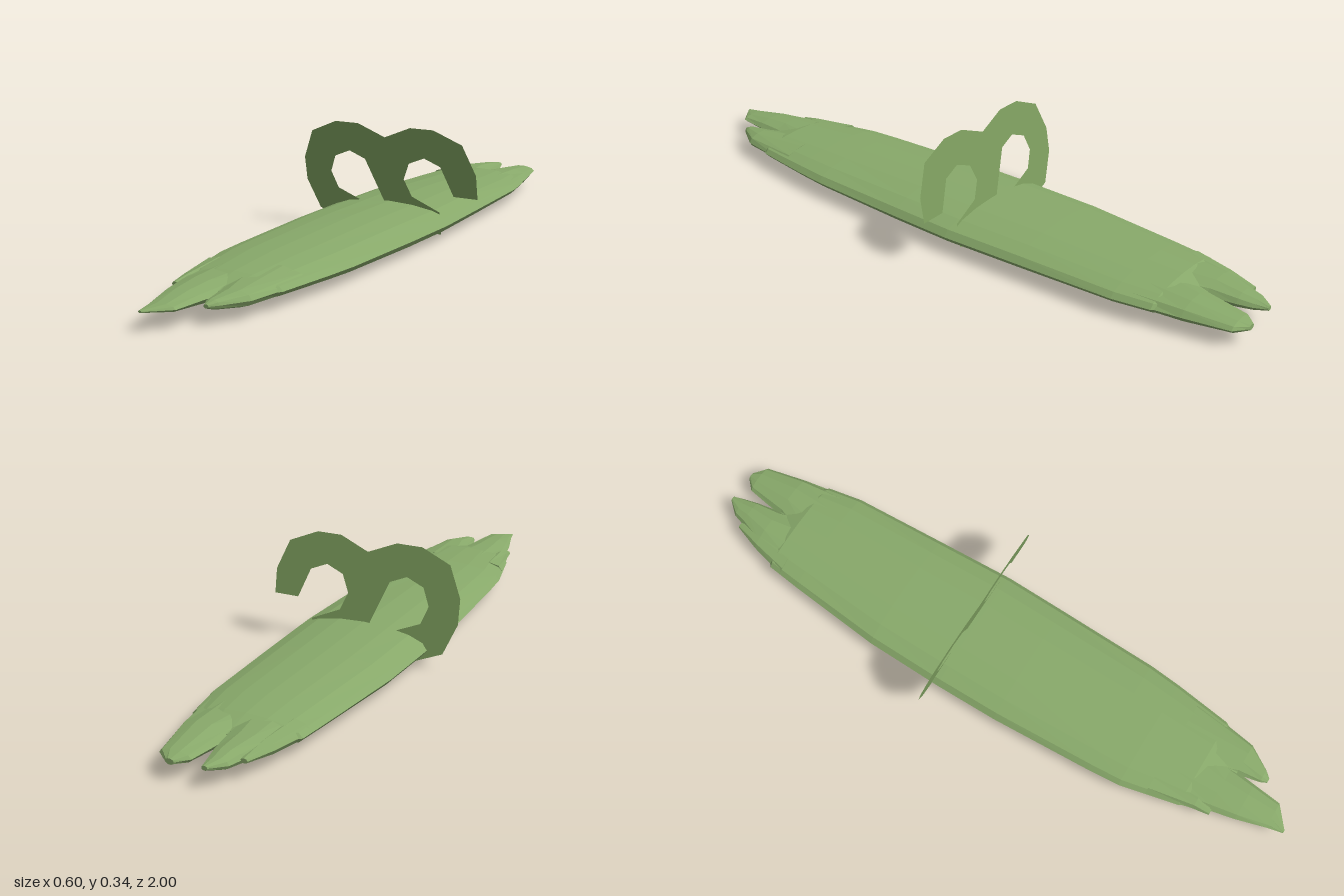
import * as THREE from 'three';

const green = new THREE.MeshStandardMaterial({ color: 0x88a96a, flatShading: true });
const greenSheet = new THREE.MeshStandardMaterial({ color: 0x7e9f5f, side: THREE.DoubleSide });

// Closed loft through oval sections [z, xMin, xMax, yMin, yMax], listed from back to front.
function loft(name, sections, sides = 10) {
  const pos = [], index = [];
  for (const [z, x0, x1, y0, y1] of sections) {
    for (let j = 0; j < sides; j++) {
      const a = (j / sides) * Math.PI * 2;
      pos.push((x0 + x1) / 2 + Math.cos(a) * (x1 - x0) / 2, (y0 + y1) / 2 + Math.sin(a) * (y1 - y0) / 2, z);
    }
  }
  const last = sections.length - 1;
  for (let i = 0; i < last; i++) {
    for (let j = 0; j < sides; j++) {
      const k = (j + 1) % sides;
      const a = i * sides + j, b = i * sides + k, c = b + sides, d = a + sides;
      index.push(a, b, c, a, c, d);
    }
  }
  for (let j = 1; j < sides - 1; j++) {
    index.push(0, j + 1, j);
    index.push(last * sides, last * sides + j, last * sides + j + 1);
  }
  const geo = new THREE.BufferGeometry();
  geo.setAttribute('position', new THREE.Float32BufferAttribute(pos, 3));
  geo.setIndex(index);
  geo.computeVertexNormals();
  const mesh = new THREE.Mesh(geo, green);
  mesh.name = name;
  return mesh;
}

export function createModel() {
  const group = new THREE.Group();
  group.name = 'leafBundle';

  // Long flattened body, its ends tucked inside the tips
  group.add(loft('body', [
    [-0.84, -0.08, 0.09, 0.045, 0.065],
    [-0.76, -0.165, 0.16, 0.02, 0.09],
    [-0.65, -0.178, 0.18, 0.016, 0.094],
    [-0.35, -0.207, 0.194, 0.006, 0.101],
    [-0.1, -0.212, 0.205, 0.002, 0.102],
    [0.1, -0.21, 0.2, 0, 0.102],
    [0.42, -0.193, 0.19, 0.008, 0.096],
    [0.52, -0.185, 0.18, 0.012, 0.093],
    [0.7, -0.143, 0.155, 0.02, 0.085],
    [0.8, -0.07, 0.09, 0.045, 0.062],
  ], 16));

  // Ragged split tips at the back
  group.add(loft('backRightTip', [
    [-1, -0.045, -0.028, 0.053, 0.066],
    [-0.96, -0.08, -0.015, 0.04, 0.072],
    [-0.92, -0.092, -0.005, 0.034, 0.078],
    [-0.84, -0.125, 0.008, 0.026, 0.085],
    [-0.66, -0.16, 0.07, 0.022, 0.088],
  ]));
  group.add(loft('backLeftTip', [
    [-1, 0.05, 0.075, 0.045, 0.062],
    [-0.97, 0.02, 0.113, 0.038, 0.07],
    [-0.84, -0.002, 0.142, 0.026, 0.084],
    [-0.66, -0.07, 0.172, 0.022, 0.088],
  ]));
  group.add(loft('backSideTip', [
    [-0.925, -0.108, -0.088, 0.05, 0.064],
    [-0.84, -0.138, -0.07, 0.036, 0.076],
    [-0.72, -0.168, -0.07, 0.03, 0.082],
  ], 8));

  // Ragged split tips at the front
  group.add(loft('frontMainTip', [
    [0.6, -0.155, 0.1, 0.02, 0.087],
    [0.78, -0.11, 0.04, 0.026, 0.08],
    [0.86, -0.092, 0.03, 0.033, 0.075],
    [0.95, -0.065, 0.02, 0.043, 0.064],
    [1, -0.053, -0.043, 0.049, 0.055],
  ]));
  group.add(loft('frontLeftTip', [
    [0.6, -0.06, 0.165, 0.02, 0.087],
    [0.8, 0.03, 0.133, 0.03, 0.076],
    [0.87, 0.045, 0.088, 0.04, 0.066],
    [0.89, 0.055, 0.07, 0.047, 0.058],
  ]));
  group.add(loft('frontSideTip', [
    [0.6, -0.165, -0.07, 0.03, 0.08],
    [0.74, -0.13, -0.08, 0.035, 0.074],
    [0.79, -0.122, -0.103, 0.048, 0.062],
  ], 8));

  // Flat curling ribbon, leaning forward
  const v = (pts) => pts.map(([x, y]) => new THREE.Vector2(x, y));
  const outline = new THREE.Shape(v([
    [-0.17, 0.013], [0.168, 0.013], [0.168, 0.085], [0.077, 0.125], [0.054, 0.178],
    [0.076, 0.23], [0.13, 0.252], [0.183, 0.23], [0.22, 0.141], [0.299, 0.141],
    [0.299, 0.215], [0.26, 0.305], [0.168, 0.343], [0.09, 0.343], [0, 0.306],
    [-0.09, 0.343], [-0.17, 0.343], [-0.26, 0.305], [-0.299, 0.215], [-0.299, 0.141],
    [-0.26, 0.05],
  ]));
  outline.holes.push(new THREE.Path(v([
    [-0.205, 0.178], [-0.184, 0.23], [-0.13, 0.252], [-0.077, 0.23],
    [-0.018, 0.09], [-0.1, 0.09], [-0.184, 0.125],
  ])));
  const geo = new THREE.ShapeGeometry(outline);
  const p = geo.attributes.position;
  for (let i = 0; i < p.count; i++) p.setZ(i, -0.07 - (0.343 - p.getY(i)) * 0.18);
  geo.computeVertexNormals();
  const ribbon = new THREE.Mesh(geo, greenSheet);
  ribbon.name = 'ribbon';
  group.add(ribbon);

  return group;
}
